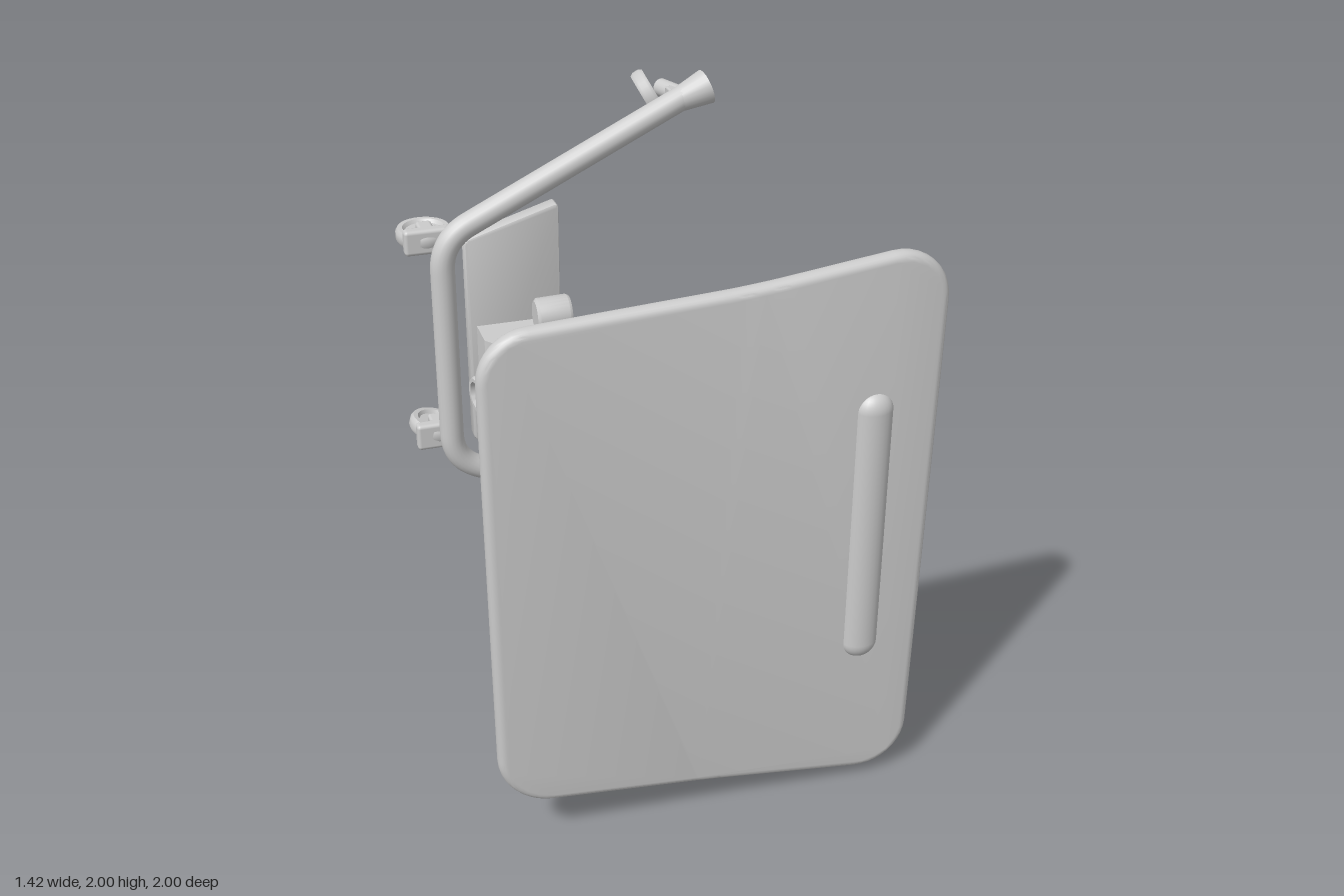
import * as THREE from 'three';
import { RoundedBoxGeometry } from 'three/addons/geometries/RoundedBoxGeometry.js';
import { toCreasedNormals } from 'three/addons/utils/BufferGeometryUtils.js';

const V = (x, y, z) => new THREE.Vector3(x, y, z);
const grey = new THREE.MeshStandardMaterial({ color: 0xcccccc });
const greyOpen = new THREE.MeshStandardMaterial({ color: 0xcccccc, side: THREE.DoubleSide });

function add(parent, name, geometry, pos = [0, 0, 0], material = grey) {
  const mesh = new THREE.Mesh(geometry, material);
  mesh.name = name;
  mesh.position.set(...pos);
  parent.add(mesh);
  return mesh;
}

// Box given by its min and max corners
function boxBetween(parent, name, a, b, r = 0.008) {
  const size = a.map((v, i) => b[i] - v);
  return add(parent, name, new RoundedBoxGeometry(...size, 2, r), a.map((v, i) => (v + b[i]) / 2));
}

// Polygon whose corners [x, y, radius] are rounded
function roundedPolygon(corners) {
  const shape = new THREE.Shape();
  const pts = corners.map(([x, y]) => new THREE.Vector2(x, y));
  const n = pts.length;
  corners.forEach(([, , r], i) => {
    const p = pts[i];
    const toward = (q) => q.clone().sub(p).setLength(r).add(p);
    const a = toward(pts[(i + n - 1) % n]), b = toward(pts[(i + 1) % n]);
    if (i) shape.lineTo(a.x, a.y); else shape.moveTo(a.x, a.y);
    // pull the control points so the arc is nearly circular
    const c1 = a.clone().lerp(p, 0.55), c2 = b.clone().lerp(p, 0.55);
    shape.bezierCurveTo(c1.x, c1.y, c2.x, c2.y, b.x, b.y);
  });
  shape.closePath();
  return shape;
}

function slab(shape, depth, bevel = 0, segments = 1) {
  const g = new THREE.ExtrudeGeometry(shape, {
    depth: depth - 2 * bevel, bevelEnabled: bevel > 0, bevelSize: bevel, bevelThickness: bevel,
    bevelOffset: -bevel, bevelSegments: segments, curveSegments: 10,
  });
  g.translate(0, 0, bevel);
  return toCreasedNormals(g, 0.6);
}

function lathe(points, segments = 32) {
  return toCreasedNormals(new THREE.LatheGeometry(points.map((p) => new THREE.Vector2(...p)), segments), 0.6);
}

function aim(mesh, axis) {
  mesh.quaternion.setFromUnitVectors(V(0, 1, 0), axis.clone().normalize());
  return mesh;
}

// Hollow clamp knob, open toward its axis
function knob(parent, name, pos, axis) {
  const g = lathe([[0, -0.065], [0.055, -0.065], [0.066, -0.055], [0.07, 0.055], [0.064, 0.065],
    [0.05, 0.065], [0.048, -0.03], [0, -0.03]], 28);
  aim(add(parent, name, g, pos, greyOpen), axis);
}

// Round wheel with a raised rim and a central hub
function wheel(parent, pos, axis, radius, half) {
  const h = half, r = radius;
  const g = lathe([[0, -h], [0.03, -h], [0.035, -h * 0.55], [r * 0.65, -h * 0.55], [r * 0.75, -h],
    [r * 0.92, -h], [r, -h * 0.5], [r, h * 0.5], [r * 0.92, h], [r * 0.75, h],
    [r * 0.65, h * 0.55], [0.035, h * 0.55], [0.03, h], [0, h]]);
  return aim(add(parent, 'casterWheel', g, pos), axis);
}

function rod(parent, name, a, b, r0, r1 = r0) {
  const dir = b.clone().sub(a);
  const mid = a.clone().add(b).multiplyScalar(0.5);
  return aim(add(parent, name, new THREE.CylinderGeometry(r1, r0, dir.length(), 20), mid.toArray()), dir);
}

export function createModel() {
  const model = new THREE.Group();
  model.name = 'tippedTable';

  // Table top, its slightly tapered outline with round corners
  const top = new THREE.Group();
  top.name = 'tableTop';
  model.add(top);
  const outline = roundedPolygon([[-0.70, 0.2, 0.17], [0, 0.125, 0.05], [0.71, 0.025, 0.19],
    [0.71, 1.965, 0.19], [0.1, 1.89, 0.1], [-0.715, 1.845, 0.15]]);
  add(top, 'tabletop', slab(outline, 0.06, 0.026, 5), [0, 0, 0.905]);

  // Long raised ridge on the top
  const ridge = new THREE.CapsuleGeometry(0.06, 0.85, 10, 24);
  ridge.scale(1, 1, 0.75);
  add(top, 'ridge', ridge, [0.5, 1.015, 0.953]).rotation.z = 0.015;

  // Support board and column mount under the top
  const board = roundedPolygon([[-0.61, 0.28, 0.015], [0.55, 0.255, 0.015],
    [0.55, 1.765, 0.015], [-0.61, 1.735, 0.015]]);
  add(top, 'supportBoard', slab(board, 0.055, 0.008, 2), [0, 0, 0.86]);
  boxBetween(top, 'columnMount', [-0.36, 0.81, 0.795], [0.05, 1.21, 0.87]);

  // Column, leaning a little sideways
  add(model, 'column', new THREE.BoxGeometry(0.19, 0.185, 1.48), [-0.197, 1.005, 0.08]).rotation.y = 0.052;

  // Clamp bracket with two knobs
  const clamp = new THREE.Group();
  clamp.name = 'heightClamp';
  model.add(clamp);
  const plan = new THREE.Shape([[-0.38, -0.65], [-0.05, -0.65], [-0.06, -0.5], [-0.02, -0.45], [-0.035, -0.39],
    [-0.07, -0.31], [-0.11, -0.265], [-0.31, -0.265], [-0.34, -0.29], [-0.35, -0.48], [-0.38, -0.52]]
    .map((p) => new THREE.Vector2(...p)));
  const bracket = slab(plan, 0.2);
  bracket.rotateX(Math.PI / 2);
  add(clamp, 'clampBracket', bracket, [0, 1.11, 0]);
  boxBetween(clamp, 'knobStem', [-0.22, 1.09, -0.47], [-0.13, 1.18, -0.4]);
  knob(clamp, 'upperKnob', [-0.14, 1.225, -0.432], V(1, 0, 0.03));
  knob(clamp, 'sideKnob', [-0.4, 0.99, -0.335], V(-1, 0, 0.15));

  // Base plate, its ends cut at a slant
  const base = new THREE.Group();
  base.name = 'base';
  model.add(base);
  const plate = roundedPolygon([[-0.41, 0.62, 0.02], [-0.05, 0.505, 0.02], [-0.05, 1.57, 0.02], [-0.41, 1.46, 0.02]]);
  add(base, 'basePlate', slab(plate, 0.065, 0.008, 2), [0, 0, -0.715]);

  // One bent tube forms the crossbar and both legs
  const tubePath = new THREE.CurvePath();
  const a = V(0.5, 1.94, -0.695), b = V(-0.5, 1.475, -0.645), c = V(-0.5, 0.545, -0.645), d = V(0.5, 0.105, -0.695);
  const bend = (p, q) => p.clone().add(q.clone().sub(p).setLength(0.12));
  tubePath.add(new THREE.LineCurve3(a, bend(b, a)));
  tubePath.add(new THREE.QuadraticBezierCurve3(bend(b, a), b, bend(b, c)));
  tubePath.add(new THREE.LineCurve3(bend(b, c), bend(c, b)));
  tubePath.add(new THREE.QuadraticBezierCurve3(bend(c, b), c, bend(c, d)));
  tubePath.add(new THREE.LineCurve3(bend(c, d), d));
  add(base, 'legTube', new THREE.TubeGeometry(tubePath, 160, 0.046, 18), [0, 0, 0], greyOpen);

  // Flared leg ends
  rod(base, 'upperLegEnd', V(0.43, 1.907, -0.692), V(0.54, 1.945, -0.7), 0.046, 0.066);
  rod(base, 'lowerLegEnd', V(0.43, 0.136, -0.692), V(0.54, 0.105, -0.7), 0.046, 0.062);

  // Casters on the leg ends
  const upper = new THREE.Group(), lower = new THREE.Group();
  upper.name = 'upperLegCaster';
  lower.name = 'lowerLegCaster';
  base.add(upper, lower);
  wheel(upper, [0.37, 1.88, -0.87], V(0.85, 0.5, 0.12), 0.1, 0.025);
  rod(upper, 'casterPin', V(0.47, 1.9, -0.74), V(0.42, 1.9, -0.88), 0.034);
  boxBetween(upper, 'casterFork', [0.41, 1.87, -0.8], [0.5, 1.93, -0.74]);
  wheel(lower, [0.415, 0.125, -0.885], V(1, 0.08, 0.06), 0.115, 0.03);
  rod(lower, 'casterPin', V(0.46, 0.14, -0.78), V(0.45, 0.14, -0.87), 0.034);

  // Casters behind the crossbar corners
  [[1.435, V(0, 1, 0), 0.1], [0.61, V(0.28, 0.96, 0), 0.11]].forEach(([y, axis, h]) => {
    const caster = new THREE.Group();
    caster.name = 'cornerCaster';
    base.add(caster);
    wheel(caster, [-0.53, y, -0.835], axis, 0.105, 0.028);
    boxBetween(caster, 'casterFork', [-0.62, y - h / 2, -0.785], [-0.44, y + h / 2, -0.735], 0.015);
    boxBetween(caster, 'casterArm', [-0.56, y - h / 2, -0.84], [-0.5, y + h / 2, -0.76], 0.012);
  });

  return model;
}
